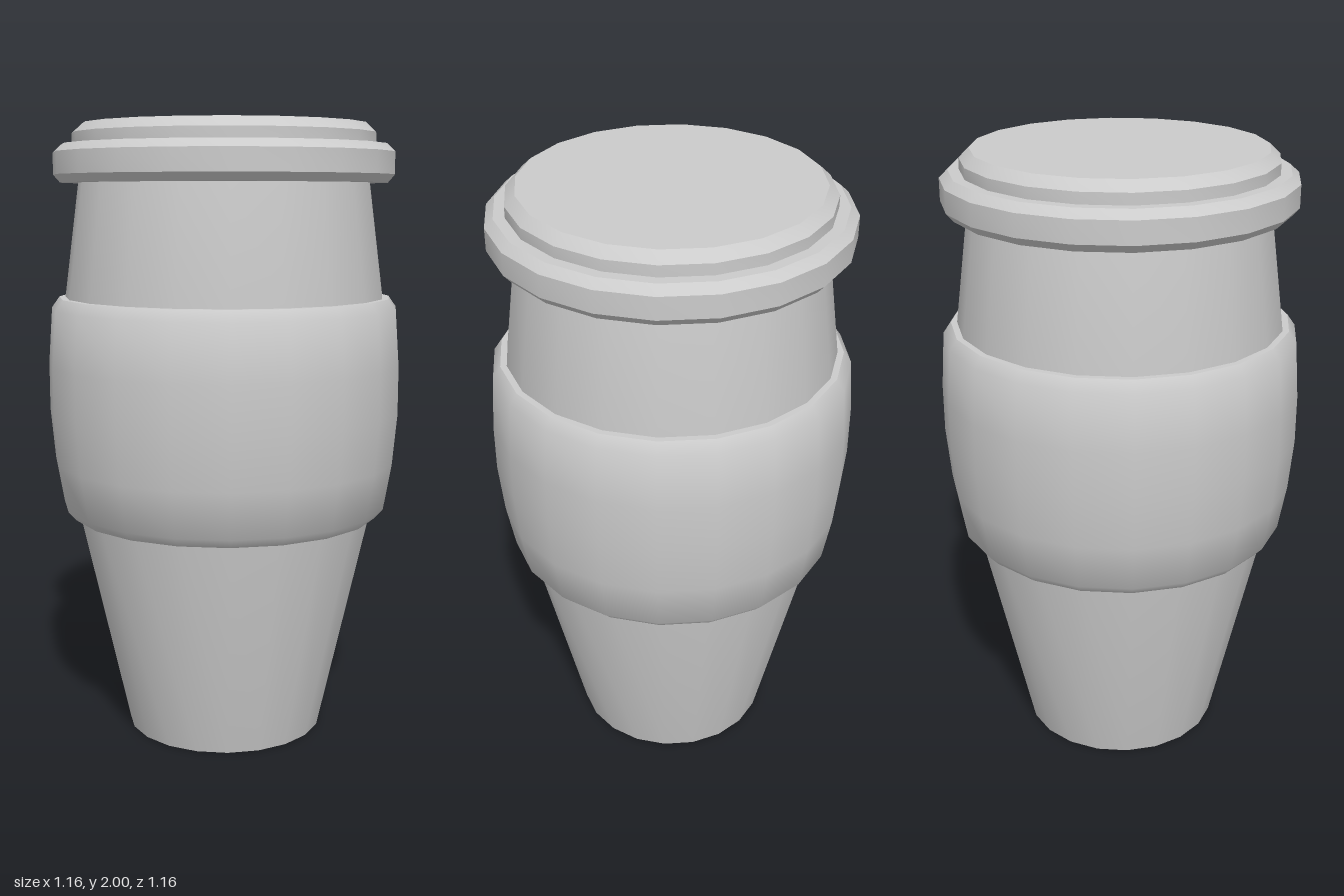
import * as THREE from 'three';
import { toCreasedNormals } from 'three/addons/utils/BufferGeometryUtils.js';

const SIDES = 20;

// Revolve a bottom-to-top [radius, height] profile; edges sharper than crease stay hard.
function turned(name, profile, crease) {
  const points = profile.map(([r, y]) => new THREE.Vector2(r, y));
  const geometry = toCreasedNormals(new THREE.LatheGeometry(points, SIDES), crease);
  const mesh = new THREE.Mesh(geometry, new THREE.MeshStandardMaterial({ color: 0xcccccc }));
  mesh.name = name;
  return mesh;
}

export function createModel() {
  const group = new THREE.Group();
  group.name = 'travelCup';

  // Tapered body, widest behind the sleeve and narrowing to the neck
  group.add(turned('cupBody', [
    [0, 0], [0.325, 0], [0.49, 0.735], [0.52, 1.1], [0.52, 1.45], [0.472, 1.815], [0, 1.815],
  ], 0.6));

  // Bulging grip sleeve with softened rims
  group.add(turned('gripSleeve', [
    [0.485, 0.735], [0.51, 0.735], [0.537, 0.765], [0.563, 0.915], [0.578, 1.08],
    [0.578, 1.235], [0.565, 1.415], [0.54, 1.45], [0.515, 1.45],
  ], 0.75));

  // Stepped lid with chamfered edges
  group.add(turned('lid', [
    [0, 1.815], [0.53, 1.815], [0.552, 1.84], [0.552, 1.91], [0.525, 1.935],
    [0.49, 1.935], [0.49, 1.97], [0.458, 2], [0, 2],
  ], 0.6));

  return group;
}
